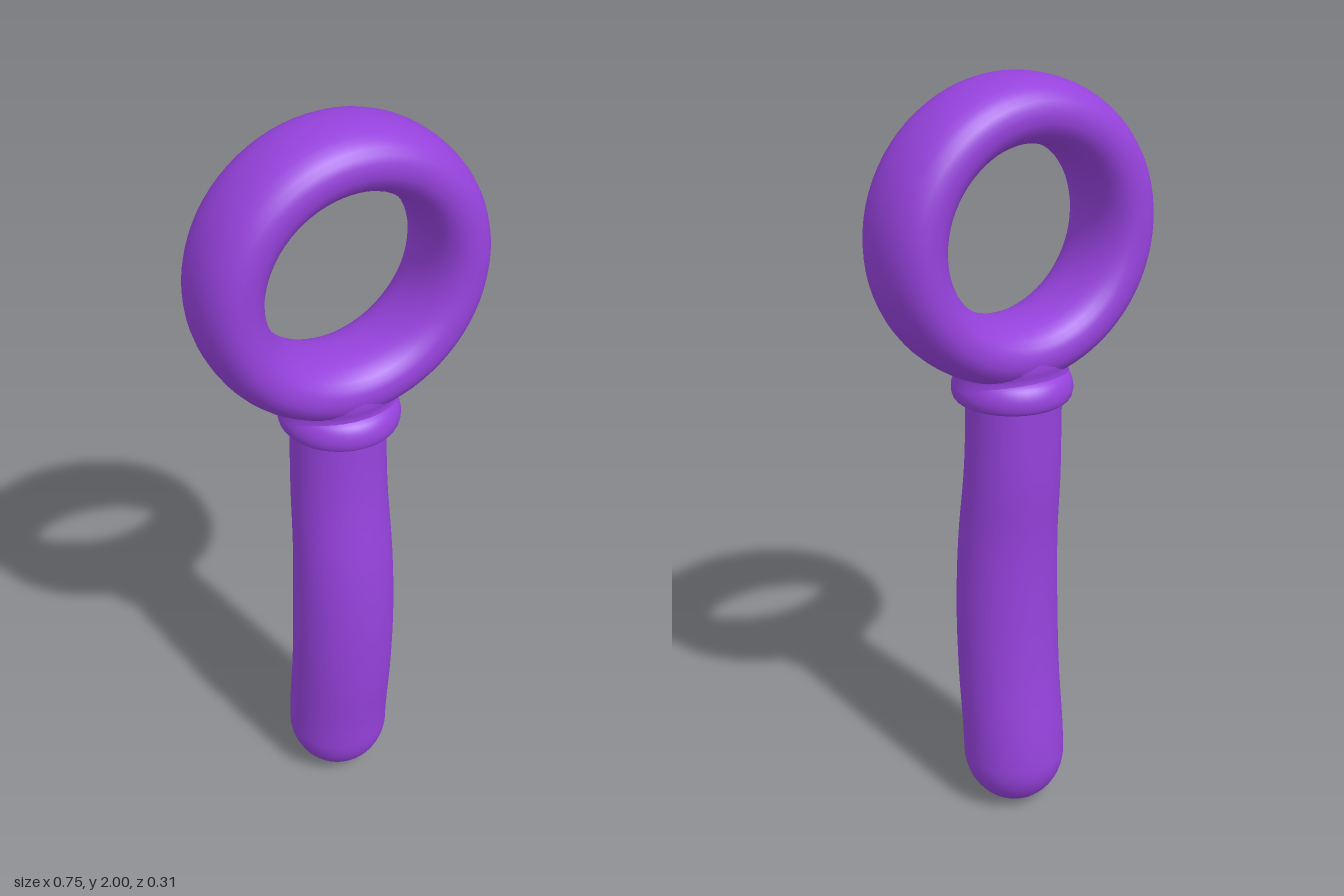
import * as THREE from 'three';
import { mergeVertices } from 'three/addons/utils/BufferGeometryUtils.js';

const purple = new THREE.MeshStandardMaterial({ color: 0x9642dc });
purple.name = 'purple';

// Lathe with welded seam, so moved vertices keep smooth normals
function turned(points, segments, move) {
  let geo = new THREE.LatheGeometry(points, segments);
  geo.deleteAttribute('uv');
  geo.deleteAttribute('normal');
  const pos = geo.attributes.position;
  const v = new THREE.Vector3();
  for (let i = 0; i < pos.count; i++) {
    v.fromBufferAttribute(pos, i);
    if (move) move(v);
    pos.setXYZ(i, v.x, v.y, v.z);
  }
  geo = mergeVertices(geo, 1e-5);
  geo.computeVertexNormals();
  return geo;
}

function part(name, geo) {
  const mesh = new THREE.Mesh(geo, purple);
  mesh.name = name;
  return mesh;
}

const pts = list => list.map(([x, y]) => new THREE.Vector2(x, y));

export function createModel() {
  const model = new THREE.Group();
  model.name = 'ringHandle';

  // Ring: soft, deep oval section swept round a circle
  const section = [];
  for (let i = 0; i <= 32; i++) {
    const t = (i / 32) * Math.PI * 2;
    const soft = c => Math.sign(c) * Math.pow(Math.abs(c), 2 / 2.2);
    section.push(new THREE.Vector2(0.295 + 0.081 * soft(Math.cos(t)), 0.13 * soft(Math.sin(t))));
  }
  const ring = part('ring', turned(section, 72));
  ring.rotation.x = Math.PI / 2;
  ring.position.y = 1.624;
  model.add(ring);

  // Neck blending the ring into the collar
  const neckCurve = new THREE.SplineCurve(pts([
    [0.135, 1.24], [0.127, 1.28], [0.13, 1.31], [0.122, 1.35], [0.09, 1.375], [0, 1.385],
  ]));
  model.add(part('neck', turned(neckCurve.getPoints(24), 40, v => {
    v.x *= 1.14 + Math.max(0, v.y - 1.28) * 2;
  })));

  // Rounded collar
  const collarCurve = new THREE.SplineCurve(pts([
    [0.11, 1.2], [0.143, 1.202], [0.153, 1.22], [0.151, 1.245], [0.138, 1.268], [0.11, 1.285],
  ]));
  model.add(part('collar', turned(collarCurve.getPoints(24), 40)));

  // Grip: round-ended bar that bows forward in the middle
  const grip = [];
  for (let i = 0; i <= 12; i++) {
    const t = (i / 12) * Math.PI / 2;
    grip.push(new THREE.Vector2(0.138 * Math.sin(t), 0.15 * (1 - Math.cos(t))));
  }
  for (let i = 1; i <= 24; i++) {
    const y = 0.15 + (1.09 * i) / 24;
    grip.push(new THREE.Vector2(0.138 - 0.015 * THREE.MathUtils.smoothstep(y, 0.5, 1.2), y));
  }
  const bow = new THREE.SplineCurve(pts([
    [0, -0.012], [0.2, -0.006], [0.4, 0.016], [0.6, 0.025], [0.8, 0.02], [1.0, -0.001], [1.25, -0.008],
  ]));
  const bend = y => {
    const t = y <= 1 ? y / 0.2 : 5 + (y - 1) / 0.25;
    return bow.getPoint(Math.min(t / 6, 1)).y;
  };
  model.add(part('grip', turned(grip, 40, v => {
    const flat = v.y > 0.2 ? 0.96 : 1;
    v.z = v.z * (1 + (flat - 1) * THREE.MathUtils.smoothstep(v.y, 0.2, 0.6)) + bend(v.y);
  })));

  return model;
}
